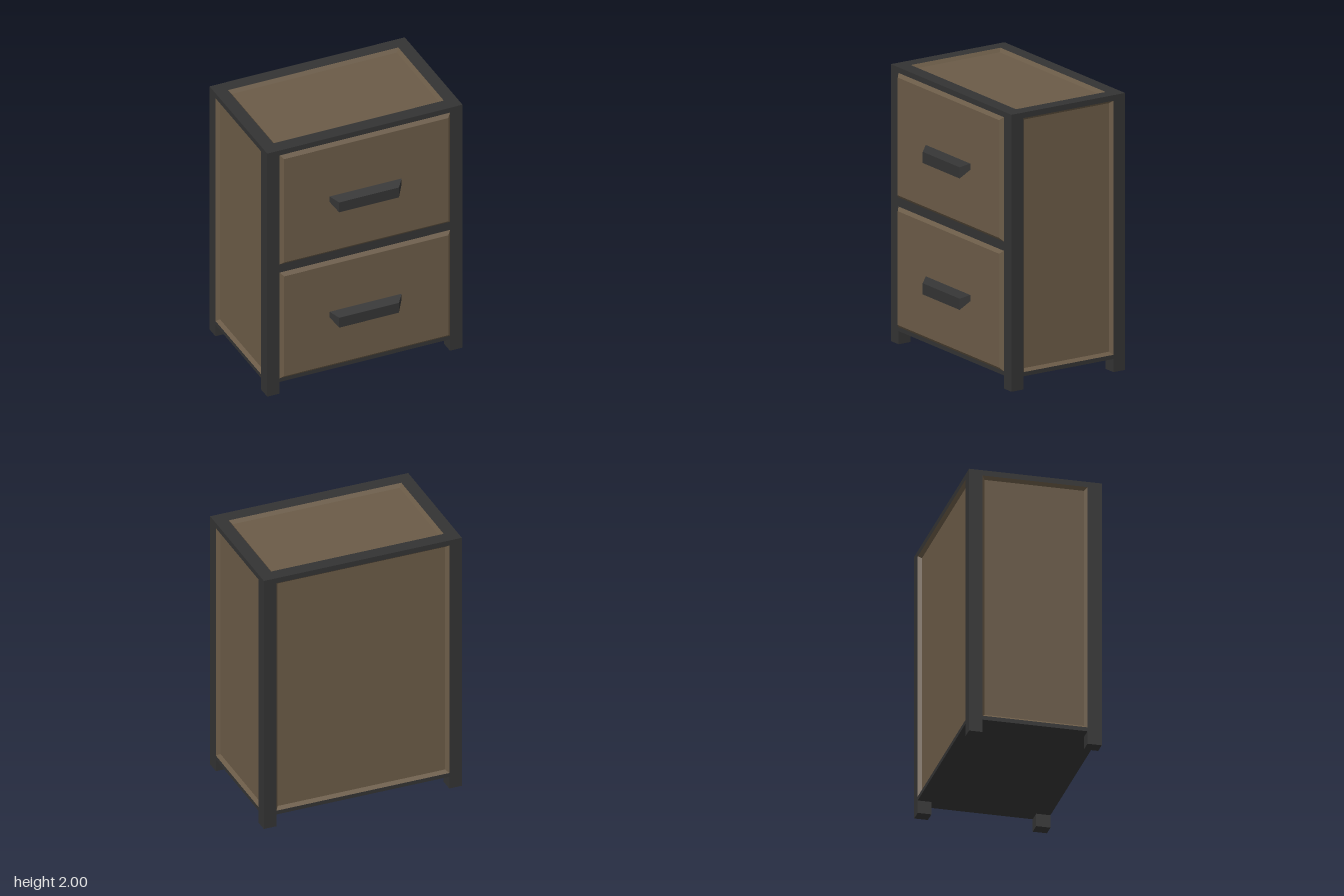
import * as THREE from 'three';

const dark = new THREE.MeshStandardMaterial({ color: 0x333333, flatShading: true });
const wood = new THREE.MeshStandardMaterial({ color: 0x6b5b47, flatShading: true });

// Corners of a rectangle, counter-clockwise seen from +z
const rect = (w, y0, y1, z) => [[-w / 2, y0, z], [w / 2, y0, z], [w / 2, y1, z], [-w / 2, y1, z]];

// Sloping walls from the outer rectangle to the inner one, closed by a flat face
function bevelled(outer, inner) {
  const pos = [];
  const quad = (a, b, c, d) => pos.push(...a, ...b, ...c, ...a, ...c, ...d);
  for (let i = 0; i < 4; i++) {
    const j = (i + 1) % 4;
    quad(outer[i], outer[j], inner[j], inner[i]);
  }
  quad(...inner);
  const geo = new THREE.BufferGeometry();
  geo.setAttribute('position', new THREE.Float32BufferAttribute(pos, 3));
  geo.computeVertexNormals();
  return geo;
}

// Panel centred on its own origin; negative depth sinks it into the frame
const panelGeometry = (w, h, depth, inset = 0.02) => bevelled(
  rect(w, -h / 2, h / 2, 0),
  rect(w - 2 * inset, -h / 2 + inset, h / 2 - inset, depth));

export function createModel() {
  const group = new THREE.Group();
  const add = (name, geo, mat, x = 0, y = 0, z = 0) => {
    const mesh = new THREE.Mesh(geo, mat);
    mesh.name = name;
    mesh.position.set(x, y, z);
    group.add(mesh);
    return mesh;
  };
  const box = (name, x0, x1, y0, y1, z0, z1) => add(name,
    new THREE.BoxGeometry(x1 - x0, y1 - y0, z1 - z0), dark,
    (x0 + x1) / 2, (y0 + y1) / 2, (z0 + z1) / 2);

  // Outer limits of the frame and inner faces of its posts
  const X = 0.745, xi = 0.65, front = 0.435, back = -0.515, zf = 0.333, zb = -0.417;
  const bottom = 0.095, low = 0.125, high = 1.96, top = 2;
  const midZ = (zf + zb) / 2, midY = (low + high) / 2;

  // Corner posts running down into the feet, and the side rails
  for (const s of [-1, 1]) {
    const [x0, x1] = s > 0 ? [xi, X] : [-X, -xi];
    box('frontPost', x0, x1, 0, top, zf, front);
    box('backPost', x0, x1, 0, top, back, zb);
    box('sideTopRail', x0, x1, high, top, zb, zf);
    box('sideBottomRail', x0, x1, bottom, low, zb, zf);
  }

  // Floor with its front and back edges, upper rails and drawer divider
  box('floor', -xi, xi, bottom, low, back, front);
  box('frontTopRail', -xi, xi, high, top, zf, front);
  box('backTopRail', -xi, xi, high, top, back, zb);
  box('drawerDivider', -xi, xi, 0.995, 1.062, zf, front);

  // Sunken panels on the sides, back and top
  const sunk = -0.025;
  for (const s of [-1, 1]) {
    add('sidePanel', panelGeometry(zf - zb, high - low, sunk), wood, s * X, midY, midZ)
      .rotation.y = s * Math.PI / 2;
  }
  add('backPanel', panelGeometry(2 * xi, high - low, sunk), wood, 0, midY, back)
    .rotation.y = Math.PI;
  add('topPanel', panelGeometry(2 * xi, zf - zb, sunk), wood, 0, top, midZ)
    .rotation.x = -Math.PI / 2;

  // Raised drawer fronts with tapered, downturned handles
  const handle = bevelled(rect(0.55, 0.065, 0.11, 0), rect(0.456, 0, 0.081, 0.057));
  for (const [y0, y1, handleY] of [[low, 0.995, 0.476], [1.062, high, 1.425]]) {
    add('drawerFront', panelGeometry(2 * xi, y1 - y0, 0.023, 0.024), wood, 0, (y0 + y1) / 2, front);
    add('drawerHandle', handle, dark, -0.005, handleY, front + 0.023);
  }
  return group;
}
